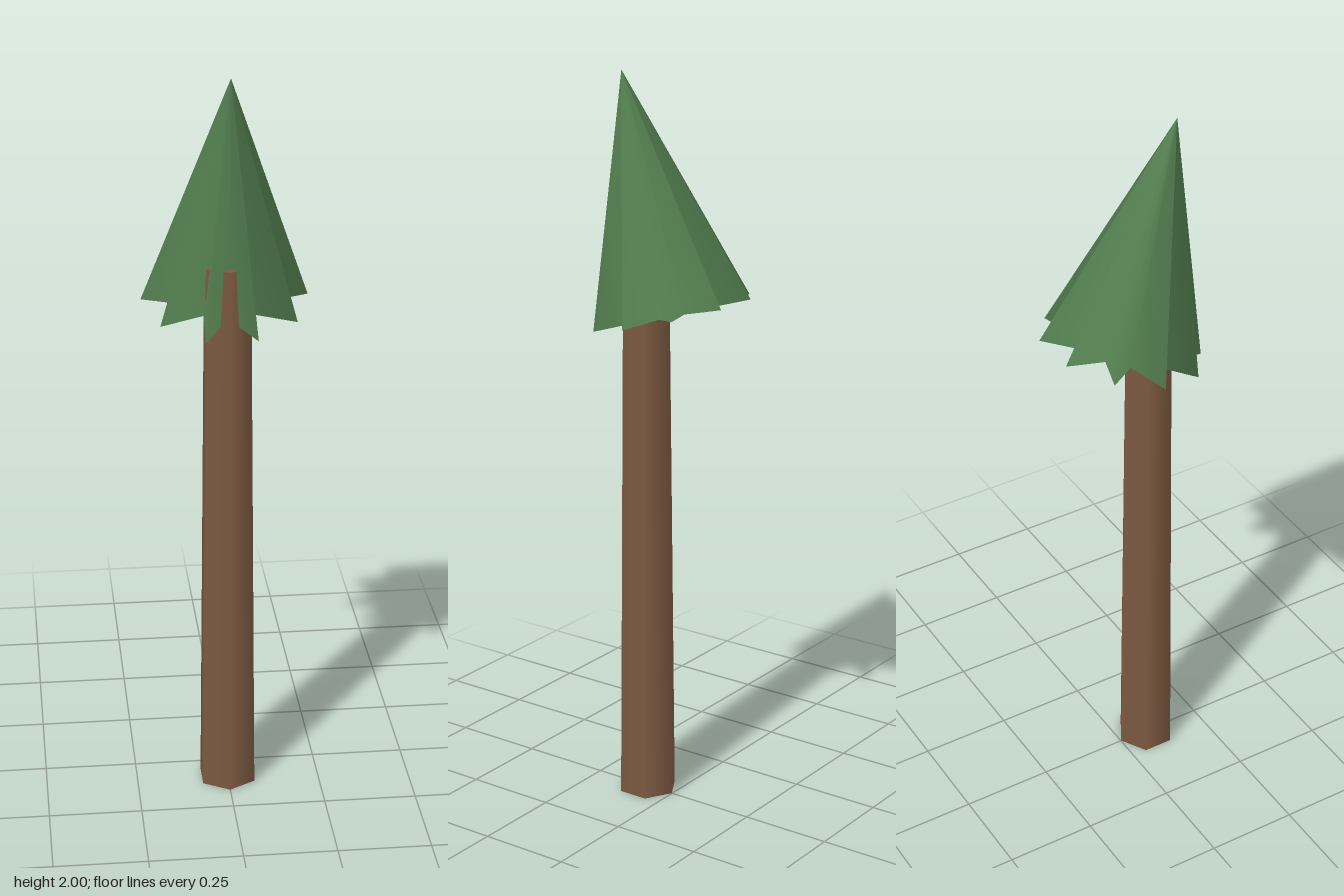
import * as THREE from 'three';

const POINTS = 10;
const OUTER = 0.218;
const INNER = 0.1065;
const HEIGHT = 0.64;
const TILT = THREE.MathUtils.degToRad(14.5);

// Cone whose rim alternates between inner and outer radius, giving a star-shaped base
function starCone() {
  const geometry = new THREE.ConeGeometry(OUTER, HEIGHT, POINTS * 2, 1);
  geometry.translate(0, HEIGHT / 2, 0);
  const pos = geometry.attributes.position;
  for (let i = 0; i < pos.count; i++) {
    const x = pos.getX(i), z = pos.getZ(i);
    if (Math.hypot(x, z) < 0.01) continue;
    const step = Math.round(Math.atan2(x, z) / (Math.PI / POINTS));
    if (step % 2 === 0) {
      pos.setX(i, x * INNER / OUTER);
      pos.setZ(i, z * INNER / OUTER);
    }
  }
  return geometry;
}

export function createModel() {
  const group = new THREE.Group();
  group.name = 'tree';

  // Tapered six-sided trunk, set forward of the foliage centre
  const trunk = new THREE.Mesh(
    new THREE.CylinderGeometry(0.066, 0.082, 1.495, 6),
    new THREE.MeshStandardMaterial({ color: 0x7d5a41 })
  );
  trunk.name = 'trunk';
  trunk.position.set(0, 0.7475, 0.083);
  group.add(trunk);

  // Pleated foliage leaning forward
  const foliage = new THREE.Mesh(
    starCone(),
    new THREE.MeshStandardMaterial({ color: 0x527d4f })
  );
  foliage.name = 'foliage';
  foliage.position.set(0, 1.38, 0);
  foliage.rotation.x = TILT;
  group.add(foliage);

  return group;
}
